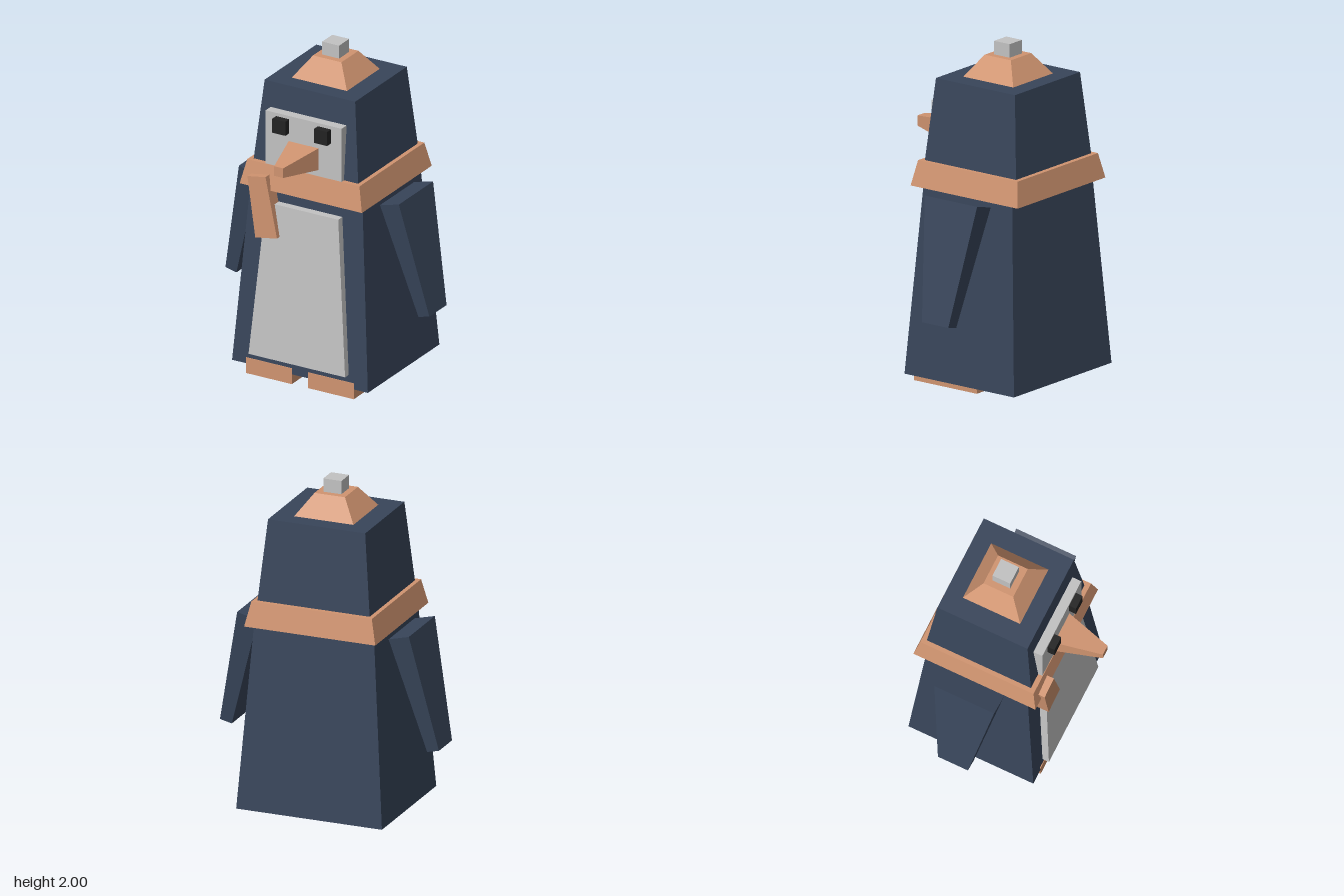
import * as THREE from 'three';

const material = (name, color) => {
  const m = new THREE.MeshStandardMaterial({ color });
  m.name = name;
  return m;
};

export function createModel() {
  const model = new THREE.Group();
  model.name = 'penguin';
  const navy = material('navy', 0x38455a);
  const orange = material('orange', 0xd09470);
  const grey = material('light grey', 0xc2c2c2);
  const black = material('black', 0x222222);

  // Six-sided block: rule maps each corner's signs (-1 or 1) to a position
  function block(name, mat, rule) {
    const geo = new THREE.BoxGeometry(2, 2, 2).toNonIndexed();
    const p = geo.attributes.position;
    for (let i = 0; i < p.count; i++) {
      p.setXYZ(i, ...rule(p.getX(i), p.getY(i), p.getZ(i)));
    }
    geo.computeVertexNormals();
    const mesh = new THREE.Mesh(geo, mat);
    mesh.name = name;
    model.add(mesh);
  }

  // Upright frustum: half width and half depth at the bottom and the top
  const ZC = -0.115;
  const frustum = (name, mat, y0, y1, [w0, d0], [w1, d1]) =>
    block(name, mat, (x, y, z) => (y < 0
      ? [x * w0, y0, ZC + z * d0]
      : [x * w1, y1, ZC + z * d1]));

  // Straight box given by its limits
  const box = (name, mat, [x0, x1], [y0, y1], [z0, z1]) =>
    block(name, mat, (x, y, z) => [x < 0 ? x0 : x1, y < 0 ? y0 : y1, z < 0 ? z0 : z1]);

  // Body, head, scarf and hat
  frustum('body', navy, 0.06, 1.2, [0.45, 0.395], [0.368, 0.318]);
  frustum('head', navy, 1.2, 1.795, [0.357, 0.339], [0.3, 0.285]);
  frustum('scarf', orange, 1.165, 1.312, [0.405, 0.386], [0.372, 0.358]);
  frustum('hat', orange, 1.795, 1.92, [0.183, 0.181], [0.094, 0.094]);
  frustum('hatPompom', grey, 1.92, 2, [0.056, 0.056], [0.056, 0.056]);

  // Face plate and beak
  box('face', grey, [-0.252, 0.252], [1.28, 1.642], [0.14, 0.24]);
  block('beak', orange, (x, y, z) => (z < 0
    ? [x * 0.1, 1.418 + y * 0.068, 0.235]
    : [x * 0.03, 1.42 + y * 0.03, 0.515]));

  // Sloping belly plate
  block('belly', grey, (x, y, z) => (y < 0
    ? [x * 0.32, 0.14, z < 0 ? 0.25 : 0.315]
    : [x * 0.24, 1.08, z < 0 ? 0.19 : 0.257]));

  // Hanging scarf end
  block('scarfEnd', orange, (x, y, z) => {
    const [px, py] = y < 0
      ? (x < 0 ? [-0.286, 0.865] : [-0.142, 0.89])
      : (x < 0 ? [-0.338, 1.235] : [-0.218, 1.255]);
    return [px, py, z < 0 ? 0.215 : 0.297];
  });

  // Mirrored eyes, flippers and feet
  for (const s of [1, -1]) {
    const side = s > 0 ? 'left' : 'right';
    const span = (a, b) => (s > 0 ? [a, b] : [-b, -a]);
    box(side + 'Eye', black, span(0.095, 0.182), [1.535, 1.622], [0.235, 0.283]);
    box(side + 'Foot', orange, span(0.053, 0.358), [0, 0.097], [-0.17, 0.282]);
    block(side + 'Flipper', navy, (x, y, z) => {
      const outer = x * s > 0;
      const [px, py] = y < 0
        ? (outer ? [0.676, 0.47] : [0.603, 0.453])
        : (outer ? [0.53, 1.17] : [0.405, 1.138]);
      return [s * px, py, -0.118 + z * (y < 0 ? 0.095 : 0.189)];
    });
  }
  return model;
}
